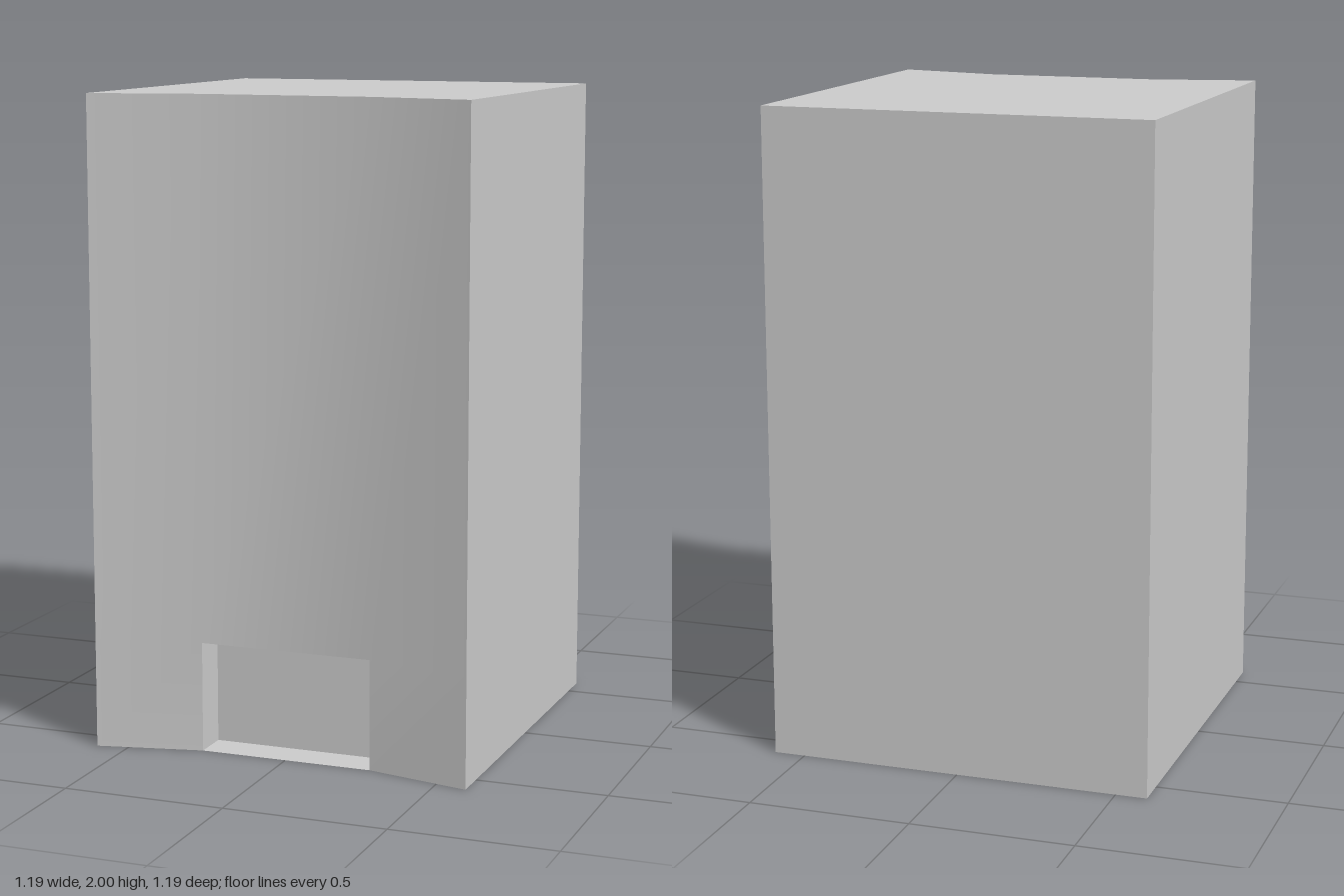
import * as THREE from 'three';
import { mergeGeometries, toCreasedNormals } from 'three/addons/utils/BufferGeometryUtils.js';

const HALF = 0.597, HEIGHT = 2;
const DOOR_X = 0.272, DOOR_H = 0.34, FRONT_Z = 0.526, DOOR_Z = 0.41;

// Footprints as [x, z], running round the tower with the walls facing outwards
const footprint = [
  [-DOOR_X, FRONT_Z], [DOOR_X, FRONT_Z], [HALF, HALF],
  [HALF, -HALF], [-HALF, -HALF], [-HALF, HALF],
];
const notchedFootprint = [
  [-DOOR_X, FRONT_Z], [-DOOR_X, DOOR_Z], [DOOR_X, DOOR_Z], [DOOR_X, FRONT_Z],
  ...footprint.slice(2),
];

// Closed band of vertical walls between two heights
function walls(points, y0, y1) {
  const pos = [];
  points.forEach(([ax, az], i) => {
    const [bx, bz] = points[(i + 1) % points.length];
    pos.push(ax, y0, az, bx, y0, bz, bx, y1, bz, ax, y0, az, bx, y1, bz, ax, y1, az);
  });
  const g = new THREE.BufferGeometry();
  g.setAttribute('position', new THREE.Float32BufferAttribute(pos, 3));
  return g;
}

// Horizontal face at height y, facing up or down
function slab(points, y, up) {
  const s = up ? -1 : 1;
  const shape = new THREE.Shape(points.map(([x, z]) => new THREE.Vector2(x, s * z)));
  const g = new THREE.ShapeGeometry(shape).rotateX(s * Math.PI / 2).translate(0, y, 0).toNonIndexed();
  g.deleteAttribute('uv');
  g.deleteAttribute('normal');
  return g;
}

export function createModel() {
  const group = new THREE.Group();
  group.name = 'tower';
  const material = new THREE.MeshStandardMaterial({ color: 0xcccccc });
  const add = (name, parts) => {
    const mesh = new THREE.Mesh(toCreasedNormals(mergeGeometries(parts), 0.5), material);
    mesh.name = name;
    group.add(mesh);
  };

  const recess = notchedFootprint.slice(0, 4);

  // Tower with the entrance cut into the foot of its concave front
  add('towerBody', [
    walls(notchedFootprint, 0, DOOR_H),
    walls(footprint, DOOR_H, HEIGHT),
    slab(footprint, HEIGHT, true),
    slab(footprint, 0, false),
    slab(recess, DOOR_H, false),
  ]);

  // Floor of the entrance recess
  add('entranceFloor', [slab(recess, 0, true)]);

  return group;
}
